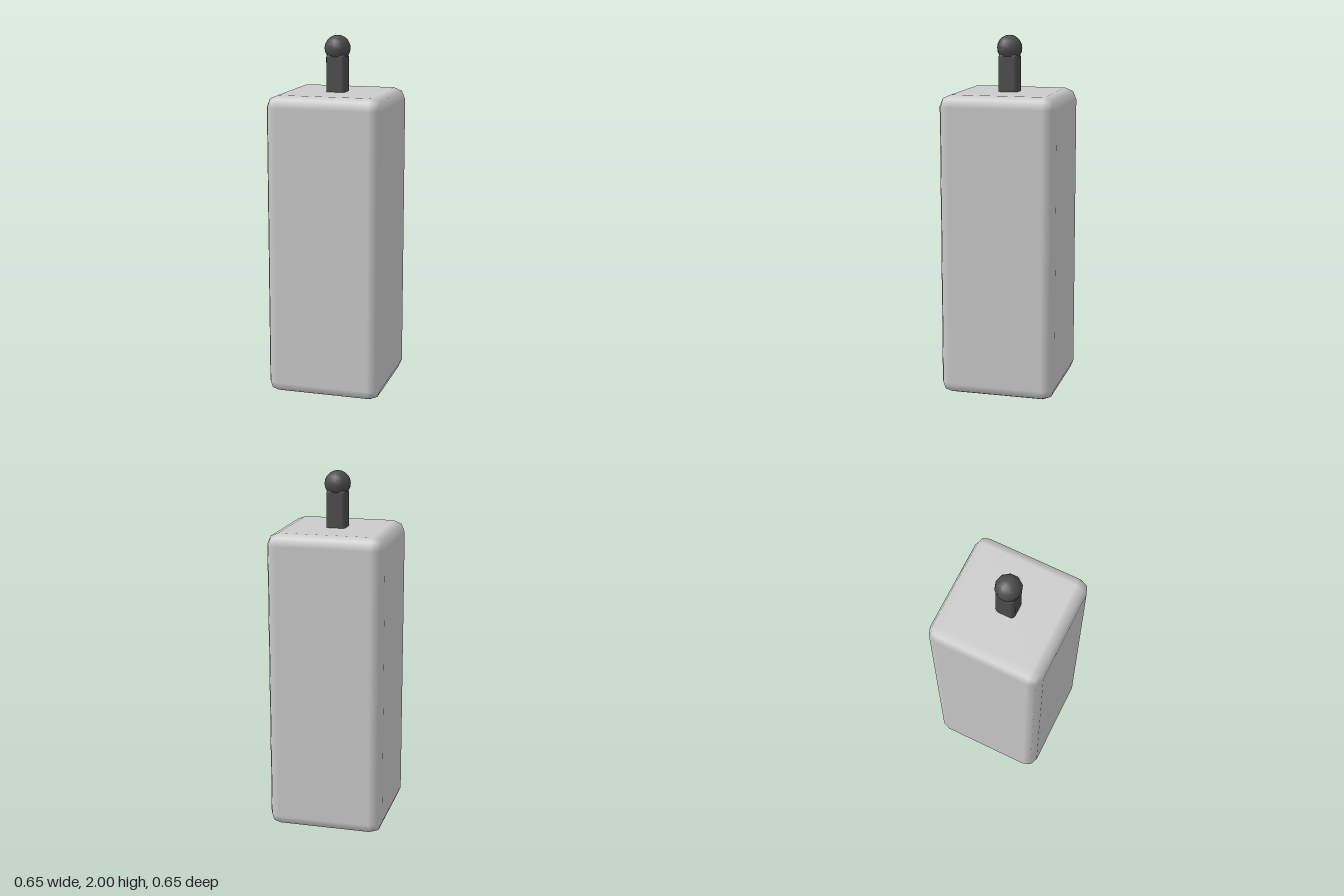
import * as THREE from 'three';
import { RoundedBoxGeometry } from 'three/addons/geometries/RoundedBoxGeometry.js';

export function createModel() {
  const group = new THREE.Group();
  const grey = new THREE.MeshStandardMaterial({ color: 0xcccccc });
  const dark = new THREE.MeshStandardMaterial({ color: 0x4d4d4d });

  const add = (name, geometry, material, y) => {
    const mesh = new THREE.Mesh(geometry, material);
    mesh.name = name;
    mesh.position.y = y;
    group.add(mesh);
    return mesh;
  };

  // Tall block with softly bevelled edges
  const bodyHeight = 1.69;
  add('body', new RoundedBoxGeometry(0.65, bodyHeight, 0.65, 1, 0.065), grey, bodyHeight / 2);

  // Square post, its foot sunk into the top of the body
  const postBottom = 1.64, postTop = 1.9;
  add('post', new RoundedBoxGeometry(0.11, postTop - postBottom, 0.11, 1, 0.02), dark, (postBottom + postTop) / 2);

  // Ball knob, ten-sided, with corners on the z axis
  const radius = 0.072;
  add('knob', new THREE.SphereGeometry(radius, 10, 10).rotateY(Math.PI / 2), dark, 2 - radius);

  return group;
}
